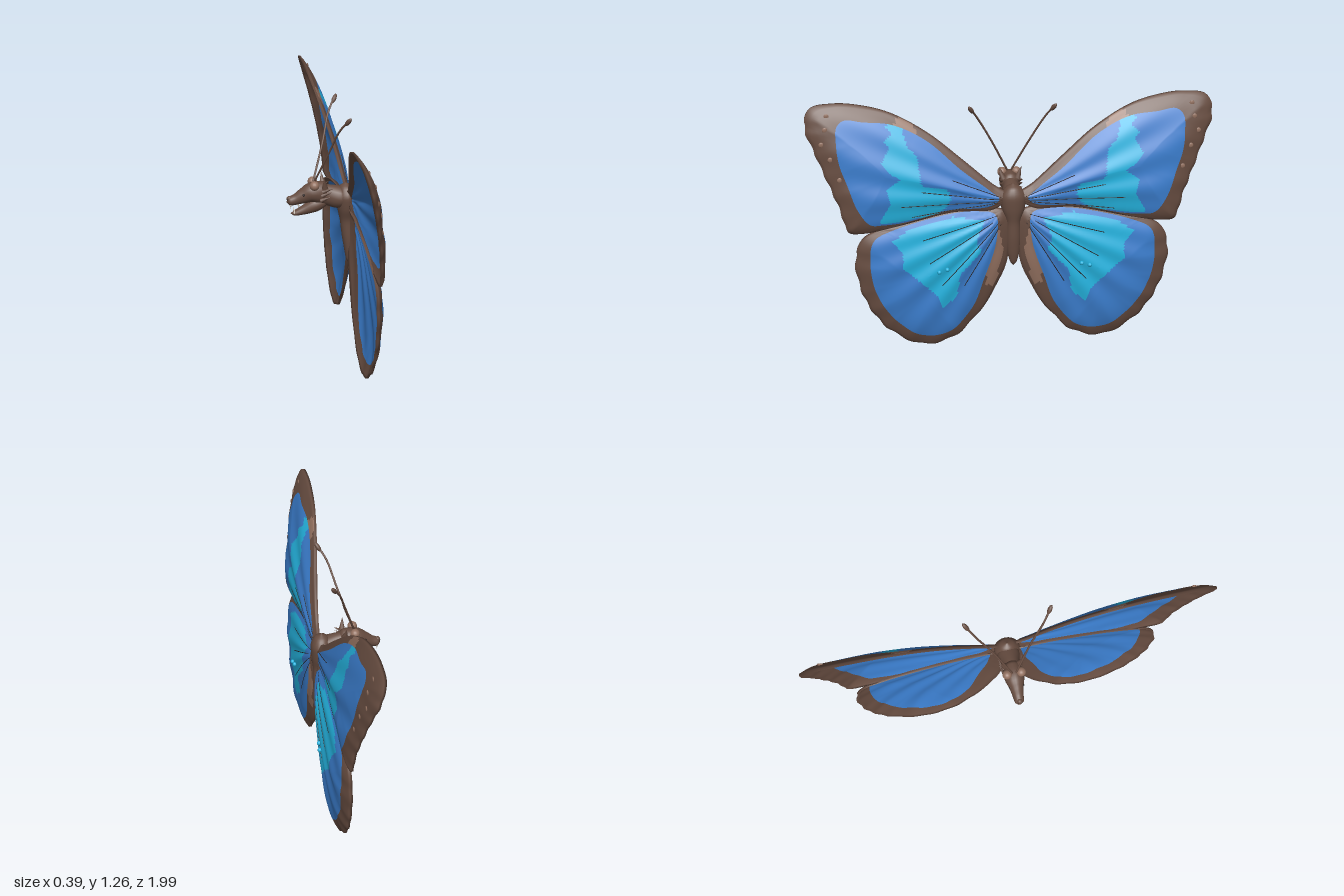
import * as THREE from 'three';

const mat = (name, color) => {
  const m = new THREE.MeshStandardMaterial({ color });
  m.name = name;
  return m;
};
const brown = mat('brown', 0x664c40);
const blue = mat('blue', 0x3a7ccb);
const cyan = mat('cyan', 0x24b2de);
const tan = mat('tan', 0x92705f);
const dark = mat('dark brown', 0x2a211f);
const ivory = mat('ivory', 0xe6ddd0);

const add = (parent, name, geo, material, x = 0, y = 0, z = 0) => {
  const m = new THREE.Mesh(geo, material);
  m.name = name;
  m.position.set(x, y, z);
  parent.add(m);
  return m;
};

// Control points: outline z, y, then the matching edge of the blue field z, y
const foreWing = {
  name: 'foreWing', center: [0.58, 0.92], root: [0.02, 0.78], amp: 0.055, shift: 0, scallop: [7.6, 12], waves: 6,
  points: [
    [0.02, 0.8, 0.07, 0.79], [0.1, 0.86, 0.11, 0.83], [0.25, 0.99, 0.25, 0.94], [0.41, 1.12, 0.42, 1.09],
    [0.59, 1.22, 0.58, 1.17], [0.74, 1.26, 0.72, 1.19], [0.86, 1.27, 0.81, 1.2], [0.97, 1.25, 0.845, 1.17],
    [1.0, 1.17, 0.85, 1.1], [0.955, 1.04, 0.84, 1.0], [0.9, 0.9, 0.8, 0.88], [0.85, 0.77, 0.76, 0.77],
    [0.81, 0.65, 0.7, 0.69], [0.74, 0.64, 0.64, 0.685], [0.57, 0.67, 0.55, 0.69], [0.3, 0.73, 0.3, 0.745],
    [0.1, 0.735, 0.12, 0.755]],
  cyan: [
    [0.62, 1.17], [0.5, 1.17], [0.53, 1.13], [0.51, 1.07], [0.47, 1.03], [0.45, 0.88], [0.32, 0.86], [0.31, 0.79],
    [0.36, 0.73], [0.62, 0.69], [0.66, 0.7], [0.6, 0.8], [0.62, 0.87], [0.55, 0.92], [0.6, 0.95], [0.64, 1.0],
    [0.6, 1.07], [0.63, 1.1], [0.58, 1.13]],
  tan: [[0.47, 1.1], [0.47, 1.175], [0.55, 1.21], [0.58, 1.16]],
  veins: [[0.3, 0.9], [0.45, 0.85], [0.55, 0.78], [0.5, 0.72]],
  dots: [[0.89, 1.22], [0.9, 1.16], [0.92, 1.09], [0.88, 1.02], [0.84, 0.92]],
};
const hindWing = {
  name: 'hindWing', center: [0.42, 0.42], root: [0.03, 0.72], amp: 0.058, shift: -0.005, scallop: [4.5, 11], waves: 8,
  points: [
    [0.04, 0.72, 0.09, 0.71], [0.15, 0.74, 0.17, 0.73], [0.3, 0.735, 0.3, 0.725], [0.62, 0.665, 0.6, 0.65],
    [0.74, 0.61, 0.69, 0.6], [0.785, 0.5, 0.71, 0.5], [0.765, 0.34, 0.69, 0.34], [0.71, 0.21, 0.63, 0.22],
    [0.62, 0.1, 0.56, 0.14], [0.46, 0.015, 0.46, 0.08], [0.3, 0.05, 0.33, 0.09], [0.165, 0.19, 0.21, 0.22],
    [0.09, 0.32, 0.15, 0.38], [0.03, 0.47, 0.09, 0.57]],
  cyan: [
    [0.6, 0.6], [0.52, 0.65], [0.3, 0.71], [0.14, 0.69], [0.19, 0.59], [0.16, 0.53], [0.27, 0.42], [0.29, 0.29],
    [0.36, 0.24], [0.38, 0.3], [0.46, 0.38], [0.55, 0.46], [0.55, 0.54]],
  tan: [[0.07, 0.64], [0.05, 0.5], [0.1, 0.33], [0.14, 0.34], [0.14, 0.45], [0.11, 0.62]],
  veins: [[0.45, 0.6], [0.42, 0.48], [0.36, 0.36], [0.25, 0.35]],
  dots: [],
};

const inside = (poly, z, y) => {
  let hit = false;
  for (let i = 0, j = poly.length - 1; i < poly.length; j = i++) {
    const [zi, yi] = poly[i], [zj, yj] = poly[j];
    if (yi > y !== yj > y && z < ((zj - zi) * (y - yi)) / (yj - yi) + zi) hit = !hit;
  }
  return hit;
};

const COLS = 176, INNER = 26, MARGIN = 5, RINGS = INNER + MARGIN;

// Samples both closed edges, adding scallops to the outer margin
function sampleEdges(w) {
  const curve = (k) => new THREE.CatmullRomCurve3(w.points.map((p) => new THREE.Vector3(0, p[k + 1], p[k])), true);
  const outer = curve(0), field = curve(2), [s0, s1] = w.scallop, out = [], fld = [];
  for (let j = 0; j < COLS; j++) {
    const u = j / COLS, i = u * w.points.length, p = outer.getPoint(u), q = field.getPoint(u);
    const s = (i - s0) / (s1 - s0);
    const k = s > 0 && s < 1 ? 1 - 0.022 * Math.sin(s * w.waves * Math.PI) ** 2 : 1;
    out.push([w.center[0] + (p.z - w.center[0]) * k, w.center[1] + (p.y - w.center[1]) * k]);
    fld.push([q.z, q.y]);
  }
  return { out, fld };
}

// Wing height: swept back at the tip, domed away from the edge, pleated from the root
function makeDepth(w, out) {
  return (z, y) => {
    let d = 9;
    for (const [a, b] of out) d = Math.min(d, Math.hypot(a - z, b - y));
    const rise = 1 - Math.exp(-d / 0.1);
    const pleat = Math.sin(26 * Math.atan2(y - w.root[1], z - w.root[0]));
    return 0.125 - 0.115 * Math.max(0, (y - 0.66) / 0.61) ** 1.6 + w.shift + w.amp * rise + 0.005 * rise * pleat;
  };
}

function buildWing(w, side) {
  const group = new THREE.Group();
  group.name = (side > 0 ? 'left ' : 'right ') + w.name;
  const { out, fld } = sampleEdges(w), depth = makeDepth(w, out), pos = [], flat = [];
  for (let r = 0; r <= RINGS; r++) for (let j = 0; j < COLS; j++) {
    const [a, b, t] = r <= INNER ? [w.center, fld[j], r / INNER] : [fld[j], out[j], (r - INNER) / MARGIN];
    flat.push([a[0] + (b[0] - a[0]) * t, a[1] + (b[1] - a[1]) * t]);
  }
  const xs = flat.map(([z, y]) => depth(z, y));
  for (const drop of [0, 0.012]) flat.forEach(([z, y], i) => pos.push(xs[i] - drop, y, z * side));

  // Faces sorted by colour: brown, blue, cyan, tan
  const lists = [[], [], [], []], N = flat.length;
  const quad = (k, a, b, c, d) => lists[k].push(...(side > 0 ? [a, b, c, a, c, d] : [a, c, b, a, d, c]));
  for (let j = 0; j < COLS; j++) {
    const n = (j + 1) % COLS;
    for (let r = 0; r < RINGS; r++) {
      const a = r * COLS + j, b = a + COLS, d = r * COLS + n, c = d + COLS;
      const z = (flat[a][0] + flat[c][0]) / 2, y = (flat[a][1] + flat[c][1]) / 2;
      const k = r < INNER ? (inside(w.cyan, z, y) ? 2 : 1) : inside(w.tan, z, y) ? 3 : 0;
      quad(k, a, b, c, d);
      quad(r < INNER ? 1 : 0, N + a, N + d, N + c, N + b);
    }
    const e = RINGS * COLS;
    quad(0, e + j, N + e + j, N + e + n, e + n);
  }
  const geo = new THREE.BufferGeometry();
  geo.setAttribute('position', new THREE.Float32BufferAttribute(pos, 3));
  geo.setIndex(lists.flat());
  let start = 0;
  lists.forEach((l, k) => { geo.addGroup(start, l.length, k); start += l.length; });
  geo.computeVertexNormals();
  add(group, 'wing membrane', geo, [brown, blue, cyan, tan]);

  // Thin veins and pale margin spots
  for (const [z, y] of w.veins) {
    const pts = Array.from({ length: 10 }, (_, i) => {
      const t = 0.12 + (0.88 * i) / 9, vz = w.root[0] + (z - w.root[0]) * t, vy = w.root[1] + (y - w.root[1]) * t;
      return new THREE.Vector3(depth(vz, vy), vy, vz * side);
    });
    add(group, 'vein', new THREE.TubeGeometry(new THREE.CatmullRomCurve3(pts), 20, 0.002, 5), dark);
  }
  for (const [z, y] of w.dots)
    add(group, 'margin spot', new THREE.SphereGeometry(0.013, 10, 8), tan, depth(z, y), y, z * side).scale.x = 0.3;
  if (w === hindWing) for (const [z, y] of [[0.375, 0.44], [0.335, 0.45]])
    add(group, 'wing bead', new THREE.SphereGeometry(0.011, 12, 8), cyan, depth(z, y) + 0.006, y, z * side);
  return group;
}

// Lofts ellipses [x, y, in-plane radius, z radius] along a path in the middle plane
function loft(sections, sides = 20) {
  const path = new THREE.CatmullRomCurve3(sections.map((s) => new THREE.Vector3(s[0], s[1], 0)));
  const size = new THREE.CatmullRomCurve3(sections.map((s) => new THREE.Vector3(s[2], s[3], 0)));
  const steps = sections.length * 4, pos = [], idx = [];
  for (let i = 0; i <= steps; i++) {
    const p = path.getPoint(i / steps), t = path.getTangent(i / steps), s = size.getPoint(i / steps);
    for (let k = 0; k < sides; k++) {
      const a = (k / sides) * Math.PI * 2, h = Math.max(s.x, 0.001) * Math.cos(a);
      pos.push(p.x - t.y * h, p.y + t.x * h, Math.max(s.y, 0.001) * Math.sin(a));
      const n = (k + 1) % sides, q = i * sides;
      if (i < steps) idx.push(q + k, q + n, q + sides + n, q + k, q + sides + n, q + sides + k);
    }
  }
  const geo = new THREE.BufferGeometry();
  geo.setAttribute('position', new THREE.Float32BufferAttribute(pos, 3));
  geo.setIndex(idx);
  geo.computeVertexNormals();
  return geo;
}

// Cone with its base at one point, leaning along a direction
function spike(parent, name, material, base, dir, r, h) {
  const m = add(parent, name, new THREE.ConeGeometry(r, h, 8).translate(0, h / 2, 0), material, ...base);
  m.quaternion.setFromUnitVectors(new THREE.Vector3(0, 1, 0), new THREE.Vector3(...dir).normalize());
}

export function createModel() {
  const model = new THREE.Group();
  model.name = 'winged creature';

  // Body
  add(model, 'thorax and abdomen', loft([
    [0.1, 0.86, 0.002, 0.002], [0.1, 0.84, 0.034, 0.038], [0.103, 0.79, 0.05, 0.065], [0.105, 0.73, 0.047, 0.058],
    [0.108, 0.66, 0.036, 0.036], [0.113, 0.58, 0.032, 0.036], [0.116, 0.5, 0.022, 0.03], [0.116, 0.45, 0.013, 0.017],
    [0.115, 0.43, 0.001, 0.001]]), brown);
  add(model, 'neck', loft([
    [0.13, 0.785, 0.02, 0.03], [0.07, 0.785, 0.056, 0.055], [0.01, 0.8, 0.053, 0.043], [-0.05, 0.815, 0.045, 0.04]]), brown);

  // Head
  const head = new THREE.Group();
  head.name = 'head';
  model.add(head);
  add(head, 'skull and snout', loft([
    [0.025, 0.81, 0.02, 0.02], [-0.015, 0.812, 0.058, 0.046], [-0.065, 0.818, 0.052, 0.05], [-0.11, 0.802, 0.04, 0.037],
    [-0.15, 0.785, 0.028, 0.027], [-0.183, 0.776, 0.022, 0.023], [-0.197, 0.773, 0.001, 0.001]]), brown);
  add(head, 'lower jaw', loft([
    [0.01, 0.775, 0.02, 0.022], [-0.05, 0.752, 0.035, 0.036], [-0.11, 0.727, 0.024, 0.026], [-0.16, 0.712, 0.012, 0.018],
    [-0.177, 0.712, 0.001, 0.001]]), brown);
  add(head, 'nose', new THREE.SphereGeometry(0.014, 12, 8), brown, -0.183, 0.79, 0);

  for (const s of [1, -1]) {
    add(head, 'large eye', new THREE.SphereGeometry(0.024, 16, 12), tan, -0.062, 0.862, 0.035 * s);
    add(head, 'small eye', new THREE.SphereGeometry(0.007, 10, 8), dark, -0.115, 0.815, 0.032 * s);
    add(head, 'nostril', new THREE.SphereGeometry(0.004, 8, 6), dark, -0.193, 0.788, 0.008 * s);
    spike(head, 'ear', brown, [-0.01, 0.845, 0.035 * s], [-0.1, 1, 0.35 * s], 0.017, 0.065);
    for (const [x, y] of [[0.0, 0.83], [-0.005, 0.81], [-0.01, 0.785]])
      spike(head, 'cheek tuft', brown, [x - 0.02, y, 0.04 * s], [1, 0.45, 0.4 * s], 0.012, 0.055);
    spike(head, 'upper fang', ivory, [-0.178, 0.763, 0.014 * s], [0, -1, 0], 0.005, 0.024);
    spike(head, 'lower fang', ivory, [-0.16, 0.715, 0.013 * s], [0, 1, 0], 0.005, 0.028);
    spike(head, 'back tooth', ivory, [-0.14, 0.762, 0.02 * s], [0, -1, 0], 0.005, 0.02);

    // Clubbed antennae
    const tip = new THREE.Vector3(0.083, 1.25, 0.208 * s);
    const path = new THREE.CatmullRomCurve3([
      new THREE.Vector3(-0.062, 0.87, 0.01 * s), new THREE.Vector3(0.0, 1.05, 0.095 * s),
      new THREE.Vector3(0.04, 1.18, 0.165 * s), tip]);
    add(model, 'antenna', new THREE.TubeGeometry(path, 24, 0.005, 8), brown);
    const club = add(model, 'antenna club', new THREE.SphereGeometry(0.011, 12, 8), brown, 0.075, 1.235, 0.2 * s);
    club.scale.y = 2.4;
    club.quaternion.setFromUnitVectors(new THREE.Vector3(0, 1, 0), path.getTangent(1));

    for (const w of [foreWing, hindWing]) model.add(buildWing(w, s));
  }
  return model;
}
